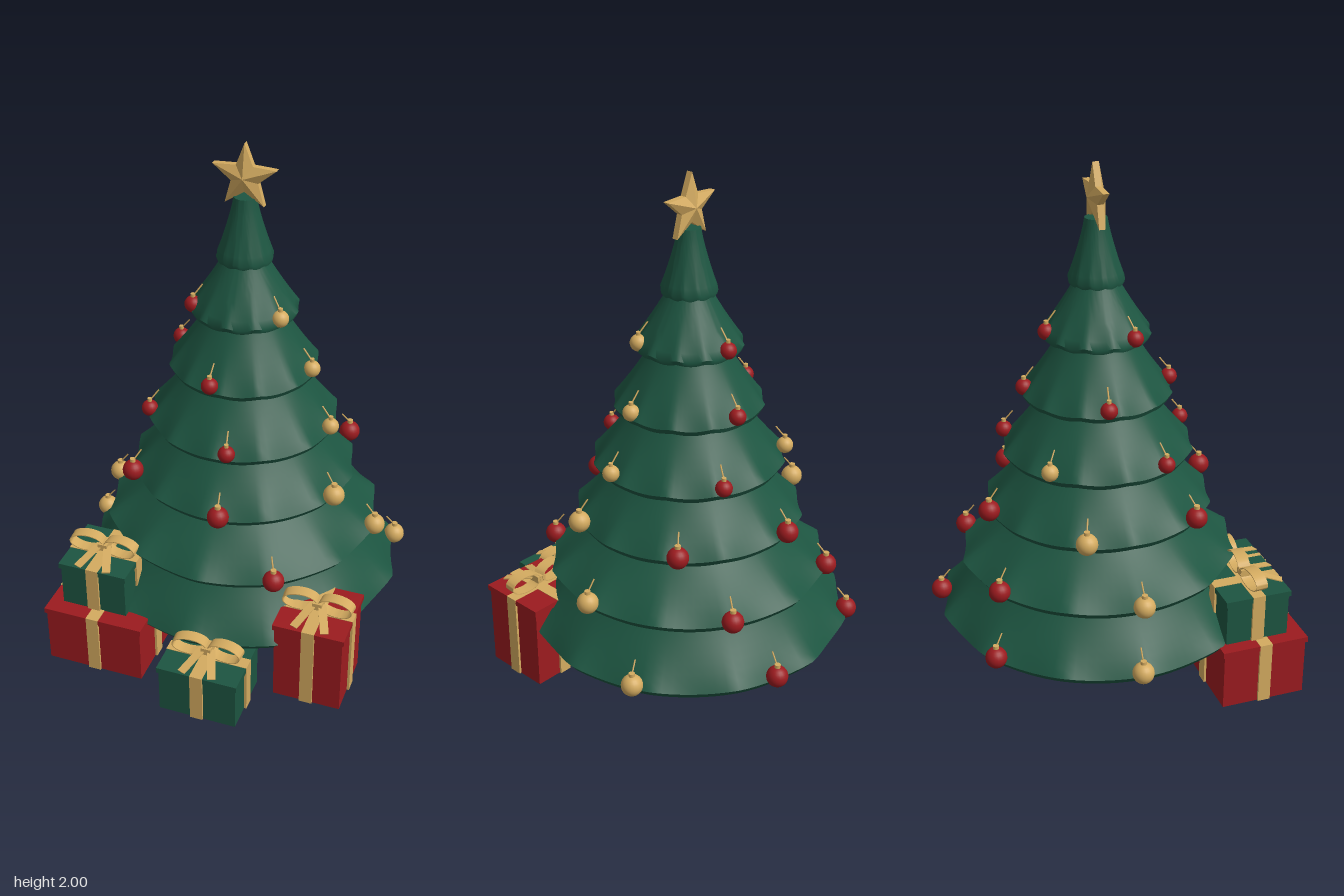
import * as THREE from 'three';
import { toCreasedNormals } from 'three/addons/utils/BufferGeometryUtils.js';

const material = (name, color, extra = {}) => {
  const m = new THREE.MeshStandardMaterial({ color, ...extra });
  m.name = name;
  return m;
};

export function createModel() {
  const green = material('fir green', 0x1d5541);
  const red = material('ruby red', 0x9c1b1f);
  const gold = material('warm gold', 0xd4ab60, { side: THREE.DoubleSide });

  const model = new THREE.Group();
  model.name = 'christmasTree';
  const tree = new THREE.Group();
  tree.name = 'tree';
  tree.position.set(0.015, 0, -0.06);
  model.add(tree);

  const add = (parent, name, geometry, mat, x = 0, y = 0, z = 0) => {
    const mesh = new THREE.Mesh(geometry, mat);
    mesh.name = name;
    mesh.position.set(x, y, z);
    parent.add(mesh);
    return mesh;
  };

  // Branch tier: a lathe with a rolled rim, pulled into twelve soft cusps with hanging arcs between
  const tierGeometry = (y0, y1, rimR, topR, curve) => {
    const pts = [
      new THREE.Vector2(0, y0 + 0.012),
      new THREE.Vector2(rimR * 0.88, y0 + 0.008),
      new THREE.Vector2(rimR * 0.965, y0),
    ];
    const weights = [0, 0.5, 1];
    const rimY = y0 + 0.012 + rimR * 0.025;
    const steps = 8;
    for (let i = 0; i <= steps; i++) {
      const t = i / steps;
      pts.push(new THREE.Vector2(topR + (rimR - topR) * (1 - t) ** curve, rimY + (y1 - rimY) * t));
      weights.push((1 - t) ** 3);
    }
    pts.push(new THREE.Vector2(0, y1));
    weights.push(0);
    const geo = new THREE.LatheGeometry(pts, 96);
    const p = geo.attributes.position;
    for (let i = 0; i < p.count; i++) {
      const w = weights[i % pts.length];
      const arc = Math.sqrt(Math.sin(6 * Math.atan2(p.getX(i), p.getZ(i))) ** 2 + 0.01);
      const s = 1 - 0.045 * w * arc;
      p.setXYZ(i, p.getX(i) * s, p.getY(i) + (0.006 + 0.022 * rimR) * w * (1 - arc), p.getZ(i) * s);
    }
    return toCreasedNormals(geo, 0.95);
  };

  // Rim height, top height, rim radius, top radius, flare of the side
  [
    [0.205, 0.47, 0.637, 0.44, 1.2],
    [0.435, 0.69, 0.55, 0.29, 1.2],
    [0.655, 0.92, 0.447, 0.25, 1.2],
    [0.88, 1.15, 0.373, 0.19, 1.15],
    [1.11, 1.38, 0.29, 0.13, 1.15],
    [1.345, 1.59, 0.208, 0.07, 1.1],
    [1.555, 1.8, 0.108, 0.042, 1.25],
  ].forEach((tier, i) => add(tree, `branchTier${i + 1}`, tierGeometry(...tier), green));

  // Trunk and stand
  add(tree, 'trunk', new THREE.CylinderGeometry(0.042, 0.042, 0.18, 24), green, 0, 0.16);
  add(tree, 'standBase', new THREE.CylinderGeometry(0.207, 0.207, 0.028, 48), green, 0, 0.014);
  add(tree, 'standBand', new THREE.CylinderGeometry(0.193, 0.193, 0.067, 48), gold, 0, 0.0615);

  // Five-pointed faceted star with a narrow edge
  const rim = (i, z) => {
    const r = i % 2 ? 0.054 : 0.126;
    const a = (i * Math.PI) / 5;
    return [Math.sin(a) * r, Math.cos(a) * r, z];
  };
  const edge = 0.012;
  const starPoints = [];
  for (let i = 0; i < 10; i++) {
    starPoints.push(0, 0, 0.035, ...rim(i + 1, edge), ...rim(i, edge));
    starPoints.push(0, 0, -0.035, ...rim(i, -edge), ...rim(i + 1, -edge));
    starPoints.push(...rim(i, edge), ...rim(i + 1, edge), ...rim(i + 1, -edge));
    starPoints.push(...rim(i, edge), ...rim(i + 1, -edge), ...rim(i, -edge));
  }
  const starGeo = new THREE.BufferGeometry();
  starGeo.setAttribute('position', new THREE.Float32BufferAttribute(starPoints, 3));
  starGeo.computeVertexNormals();
  add(tree, 'star', starGeo, gold, 0, 1.874);

  // Hanging balls, each with a cap and a wire hook leaning towards the branches
  const addBall = (mat, y, dist, degrees, r) => {
    const a = THREE.MathUtils.degToRad(degrees);
    const ball = new THREE.Group();
    ball.name = 'ornament';
    ball.position.set(Math.sin(a) * dist, y, Math.cos(a) * dist);
    ball.rotation.y = a;
    add(ball, 'ball', new THREE.SphereGeometry(r, 20, 14), mat);
    add(ball, 'cap', new THREE.CylinderGeometry(r * 0.28, r * 0.28, 0.014, 12), gold, 0, r + 0.004);
    const wire = new THREE.LineCurve3(new THREE.Vector3(0, r, 0), new THREE.Vector3(0, r + 0.046, -0.036));
    add(ball, 'hook', new THREE.TubeGeometry(wire, 1, 0.003, 6), gold);
    tree.add(ball);
  };
  // Height, distance from trunk, ball radius, red angles, gold angles
  [
    [0.267, 0.63, 0.041, [164, -145], [114, -93]],
    [0.49, 0.545, 0.041, [-150, 150, 31], [-90, 90]],
    [0.715, 0.452, 0.041, [-173, 128, -53, 7], [-113, 68]],
    [0.94, 0.366, 0.032, [153, -64, 9], [-136, 82]],
    [1.162, 0.277, 0.032, [172, -99, -8], [84]],
    [1.385, 0.193, 0.032, [179, -62], [61]],
  ].forEach(([y, dist, r, reds, golds]) => {
    reds.forEach((a) => addBall(red, y, dist, a, r));
    golds.forEach((a) => addBall(gold, y, dist, a, r));
  });

  // Ribbon bow: two hollow loops, a knot and two splayed tails
  const addBow = (parent, y) => {
    const bow = new THREE.Group();
    bow.name = 'bow';
    bow.position.y = y;
    const loop = new THREE.Shape().absellipse(0, 0, 0.068, 0.036, 0, Math.PI * 2);
    loop.holes.push(new THREE.Path().absellipse(0, 0, 0.0645, 0.0325, 0, Math.PI * 2));
    const loopGeo = new THREE.ExtrudeGeometry(loop, { depth: 0.048, bevelEnabled: false, curveSegments: 20 });
    const smoothLoop = toCreasedNormals(loopGeo.translate(0, 0, -0.024), 0.6);
    for (const side of [-1, 1]) {
      const l = add(bow, 'bowLoop', smoothLoop, gold, side * 0.07, 0.041, 0.004);
      l.rotation.y = -side * 0.08;
      const tail = add(bow, 'bowTail', new THREE.BoxGeometry(0.032, 0.004, 0.13), gold, side * 0.038, 0.022, 0.07);
      tail.rotation.set(0.25, side * 0.36, 0, 'YXZ');
    }
    add(bow, 'knot', new THREE.BoxGeometry(0.038, 0.028, 0.054), gold, 0, 0.036, 0.003);
    parent.add(bow);
  };

  // Gift box: body, lid, crossed ribbons and an optional bow
  const addGift = (name, mat, x, y, z, w, h, d, hasBow) => {
    const gift = new THREE.Group();
    gift.name = name;
    gift.position.set(x, y, z);
    const lid = 0.022;
    const ribbon = 0.05;
    add(gift, 'box', new THREE.BoxGeometry(w - 0.014, h - lid, d - 0.014), mat, 0, (h - lid) / 2);
    add(gift, 'lid', new THREE.BoxGeometry(w, lid, d), mat, 0, h - lid / 2);
    add(gift, 'ribbonFrontToBack', new THREE.BoxGeometry(ribbon, h + 0.001, d + 0.004), gold, 0, h / 2 + 0.0015);
    add(gift, 'ribbonSideToSide', new THREE.BoxGeometry(w + 0.004, h + 0.001, ribbon), gold, 0, h / 2 + 0.001);
    if (hasBow) addBow(gift, h);
    model.add(gift);
  };
  addGift('wideRedGift', red, -0.377, 0, 0.415, 0.405, 0.25, 0.348, false);
  addGift('stackedGreenGift', green, -0.394, 0.25, 0.398, 0.278, 0.19, 0.265, true);
  addGift('lowGreenGift', green, 0.096, 0, 0.57, 0.318, 0.205, 0.27, true);
  addGift('tallRedGift', red, 0.457, 0, 0.343, 0.278, 0.345, 0.285, true);

  return model;
}
